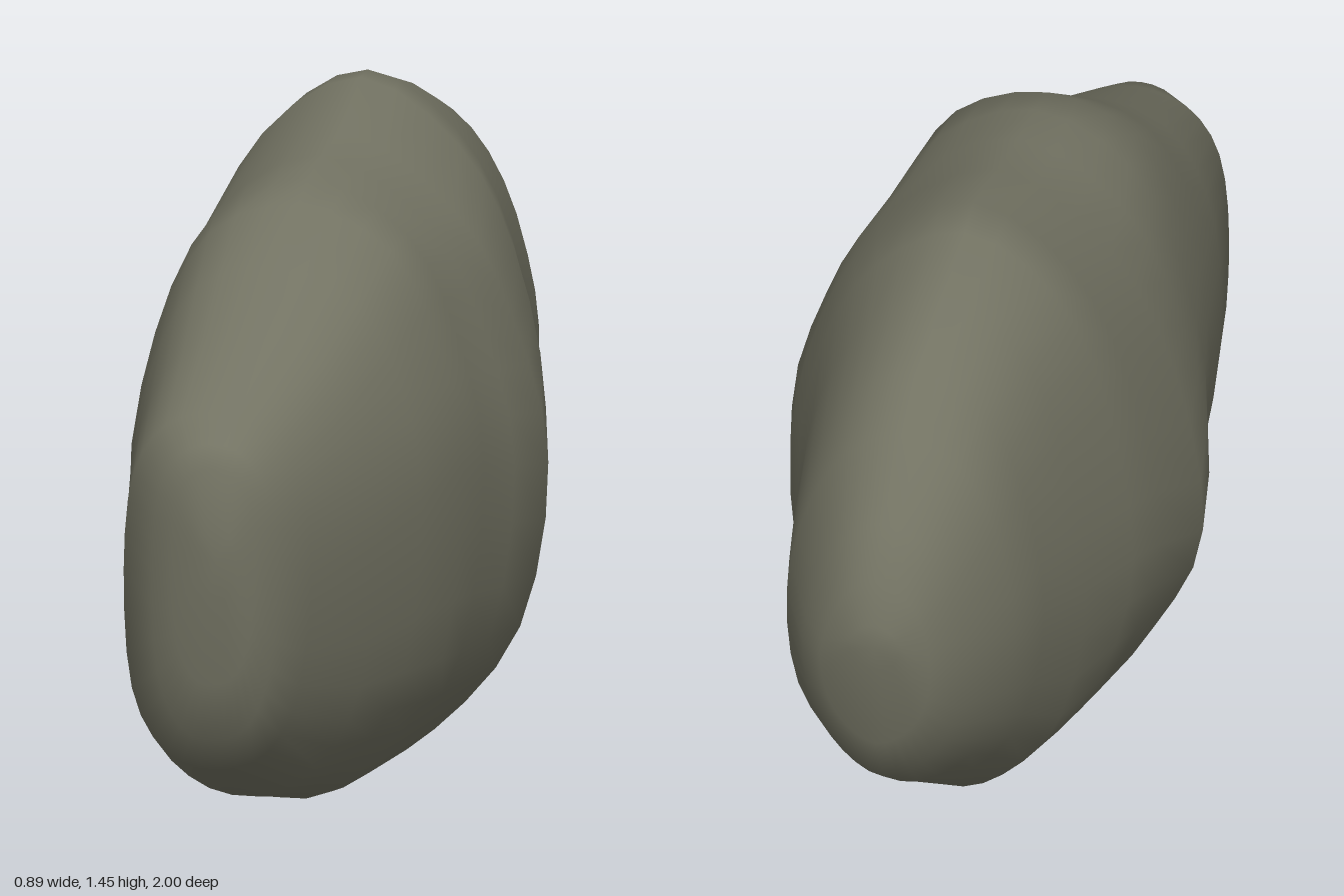
import * as THREE from 'three';

// Cross-sections from front to back: z, top, bottom, +x edge, -x edge
const SECTIONS = [
  [1.0, 0.80, 0.64, 0.01, -0.07],
  [0.98, 0.92, 0.45, 0.05, -0.13],
  [0.95, 0.965, 0.32, 0.09, -0.18],
  [0.87, 1.01, 0.235, 0.145, -0.26],
  [0.65, 1.125, 0.12, 0.23, -0.305],
  [0.5, 1.23, 0.08, 0.295, -0.335],
  [0.36, 1.33, 0.04, 0.35, -0.36],
  [0.25, 1.36, 0.02, 0.37, -0.385],
  [0.12, 1.375, 0.01, 0.405, -0.425],
  [-0.02, 1.39, 0.005, 0.445, -0.45],
  [-0.23, 1.45, 0.065, 0.39, -0.41],
  [-0.33, 1.44, 0.095, 0.35, -0.385],
  [-0.5, 1.38, 0.14, 0.30, -0.33],
  [-0.67, 1.305, 0.26, 0.27, -0.285],
  [-0.78, 1.22, 0.335, 0.245, -0.25],
  [-0.91, 1.08, 0.435, 0.175, -0.175],
  [-0.97, 0.97, 0.56, 0.12, -0.12],
  [-1.0, 0.88, 0.77, 0.05, -0.06],
];

// Outline shapes at a few depths: u from -1 to 1 across, v from 0 to 1 upward.
// Points run from the underside up the +x flank, over the top and down the -x flank.
const OUTLINES = [
  { z: 0.9, points: [[0, 0], [0.55, 0.06], [0.88, 0.25], [1, 0.55], [0.9, 0.8], [0.55, 0.95],
    [0, 1], [-0.55, 0.96], [-0.9, 0.82], [-1, 0.55], [-0.92, 0.22], [-0.55, 0.04]] },
  { z: 0.4, points: [[0.05, 0], [0.5, 0.08], [0.88, 0.25], [1, 0.58], [0.86, 0.78], [0.56, 0.94],
    [0, 1], [-0.54, 0.95], [-0.86, 0.77], [-1, 0.52], [-0.8, 0.13], [-0.45, 0.03]] },
  { z: 0, points: [[0.05, 0], [0.45, 0.07], [0.86, 0.24], [1, 0.5], [0.83, 0.72], [0.56, 0.88],
    [0, 1], [-0.55, 0.88], [-0.87, 0.67], [-1, 0.39], [-0.76, 0.2], [-0.4, 0.04]] },
  { z: -0.5, points: [[0, 0], [0.5, 0.06], [0.96, 0.22], [1, 0.5], [0.85, 0.76], [0.5, 0.93],
    [0, 1], [-0.5, 0.93], [-0.82, 0.75], [-1, 0.45], [-0.82, 0.18], [-0.42, 0.04]] },
  { z: -0.93, points: [[0, 0], [0.5, 0.08], [0.87, 0.25], [1, 0.5], [0.8, 0.75], [0.45, 0.93],
    [0, 1], [-0.5, 0.94], [-0.85, 0.77], [-1, 0.5], [-0.87, 0.25], [-0.5, 0.08]] },
];

const SIDES = 36;

// Blend the two nearest outlines and round them into a smooth loop
function outlineAt(z) {
  let i = 0;
  while (i < OUTLINES.length - 2 && z < OUTLINES[i + 1].z) i++;
  const from = OUTLINES[i], to = OUTLINES[i + 1];
  const t = THREE.MathUtils.clamp((from.z - z) / (from.z - to.z), 0, 1);
  const points = from.points.map(([u, v], j) => new THREE.Vector3(
    THREE.MathUtils.lerp(u, to.points[j][0], t),
    THREE.MathUtils.lerp(v, to.points[j][1], t), 0));
  return new THREE.CatmullRomCurve3(points, true, 'catmullrom', 0.5)
    .getPoints(SIDES).slice(0, SIDES);
}

function rockGeometry() {
  const positions = [];
  const index = [];
  for (const [z, top, bottom, right, left] of SECTIONS) {
    for (const p of outlineAt(z)) {
      positions.push((right + left) / 2 + p.x * (right - left) / 2, bottom + p.y * (top - bottom), z);
    }
  }

  // Skin between neighbouring rings
  const last = SECTIONS.length - 1;
  for (let i = 0; i < last; i++) {
    for (let j = 0; j < SIDES; j++) {
      const a = i * SIDES + j, b = i * SIDES + (j + 1) % SIDES;
      index.push(a, a + SIDES, b, b, a + SIDES, b + SIDES);
    }
  }

  // Close the front and back tips
  for (const row of [0, last]) {
    const [z, top, bottom, right, left] = SECTIONS[row];
    const tip = positions.length / 3;
    positions.push((right + left) / 2, (top + bottom) / 2, z);
    for (let j = 0; j < SIDES; j++) {
      const a = row * SIDES + j, b = row * SIDES + (j + 1) % SIDES;
      if (row === 0) index.push(tip, a, b);
      else index.push(tip, b, a);
    }
  }

  const geometry = new THREE.BufferGeometry();
  geometry.setAttribute('position', new THREE.Float32BufferAttribute(positions, 3));
  geometry.setIndex(index);
  geometry.computeVertexNormals();
  return geometry;
}

export function createModel() {
  const group = new THREE.Group();
  group.name = 'rock';
  const stone = new THREE.MeshStandardMaterial({ color: 0x727262 });
  stone.name = 'mossy grey stone';
  const boulder = new THREE.Mesh(rockGeometry(), stone);
  boulder.name = 'boulder';
  group.add(boulder);
  return group;
}
